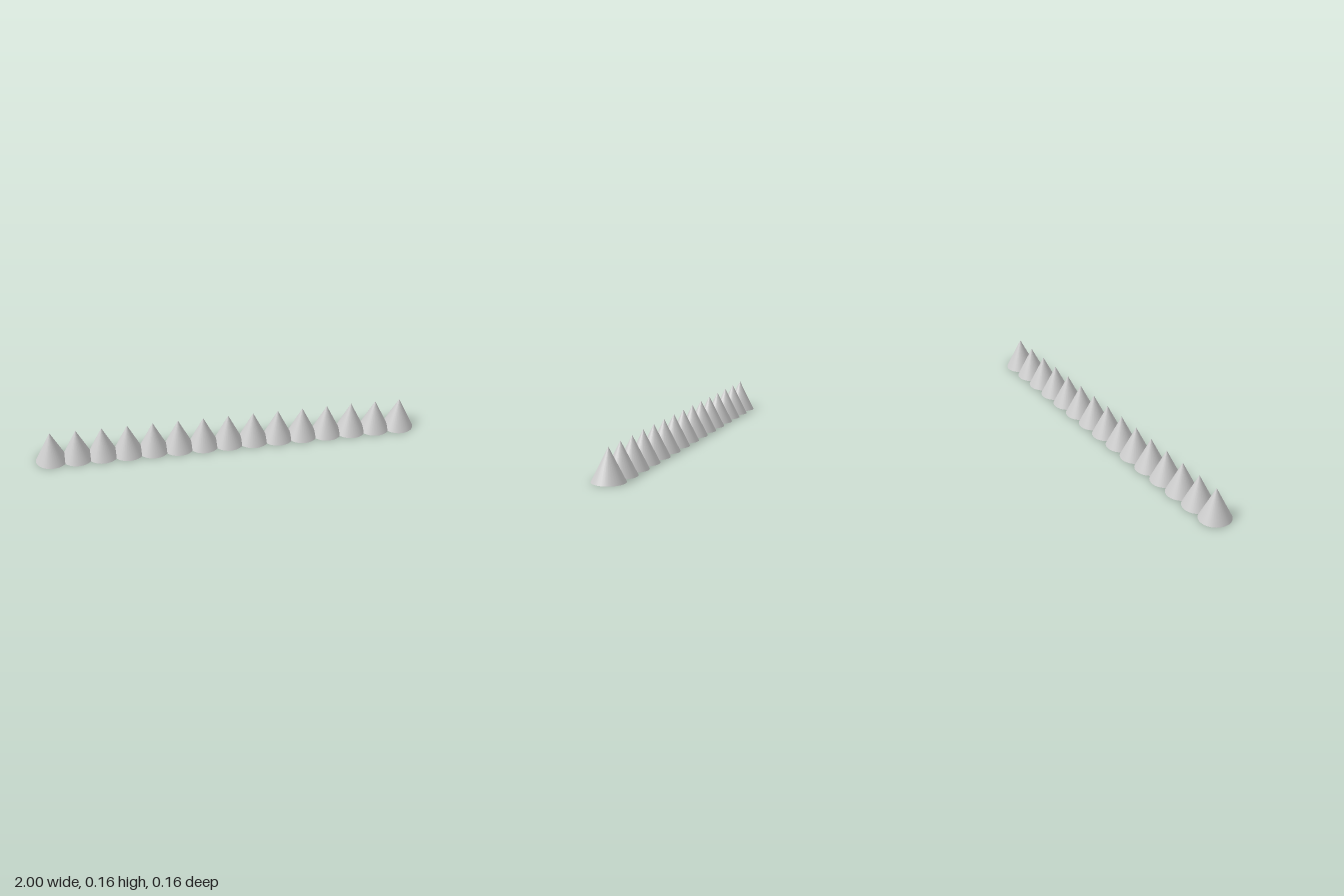
import * as THREE from 'three';

const COUNT = 15;
const RADIUS = 2 / 24.4;        // row of overlapping cones spans 2 units
const HEIGHT = RADIUS * 2;
const SPACING = RADIUS * 1.6;

export function createModel() {
  const group = new THREE.Group();
  group.name = 'spikeStrip';
  const material = new THREE.MeshStandardMaterial({ color: 0xcccccc });

  // One capped cone, standing on the ground, shared by every spike
  const geometry = new THREE.ConeGeometry(RADIUS, HEIGHT, 32);
  geometry.translate(0, HEIGHT / 2, 0);

  // Row of spikes along x
  for (let i = 0; i < COUNT; i++) {
    const spike = new THREE.Mesh(geometry, material);
    spike.name = `spike${i + 1}`;
    spike.position.x = (i - (COUNT - 1) / 2) * SPACING;
    group.add(spike);
  }
  return group;
}
